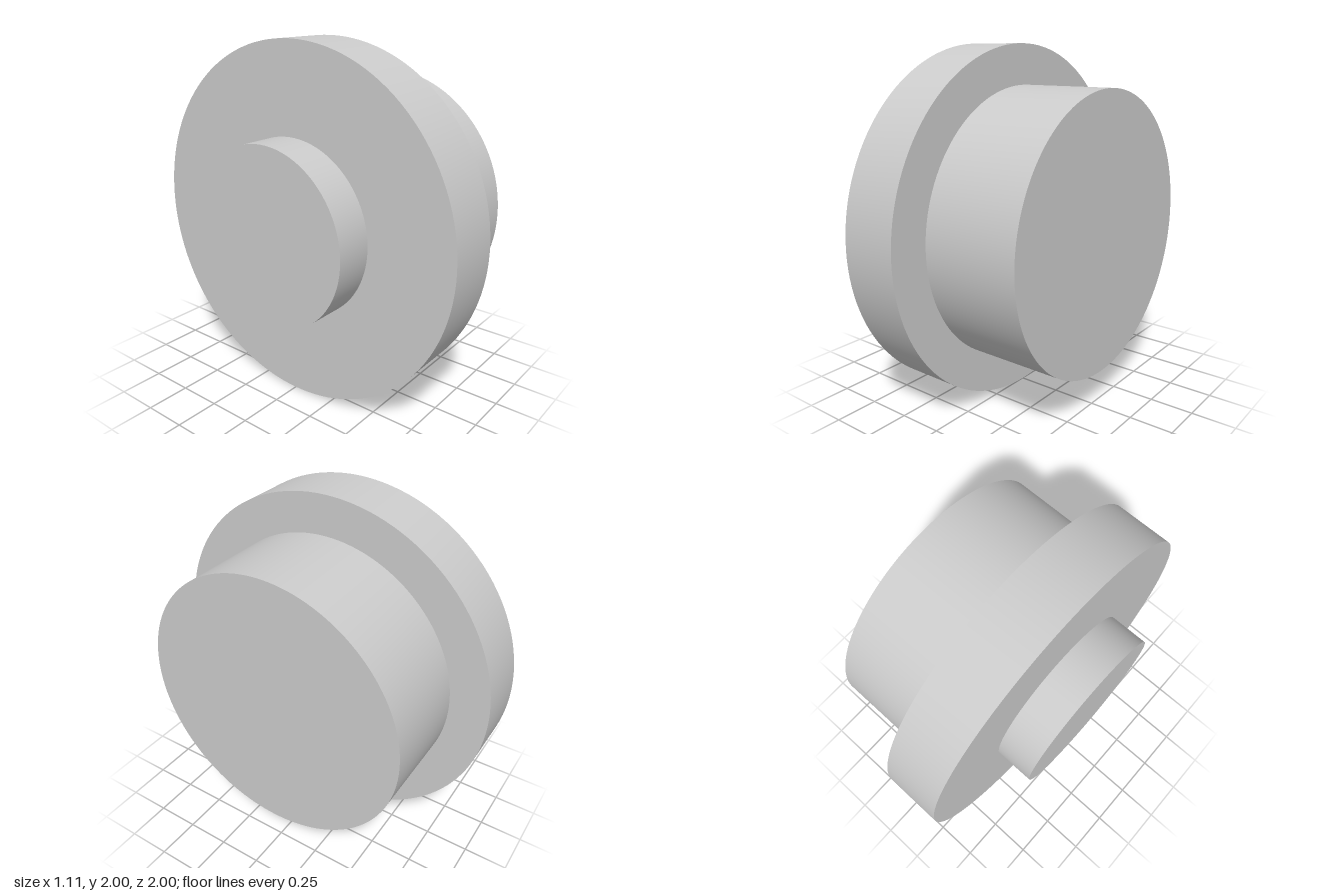
import * as THREE from 'three';
import { toCreasedNormals } from 'three/addons/utils/BufferGeometryUtils.js';

const SEGMENTS = 128;

export function createModel() {
  const group = new THREE.Group();
  group.name = 'steppedKnob';
  const material = new THREE.MeshStandardMaterial({ color: 0xcccccc });

  // Turn a [radius, x] profile about the x axis, keeping its corners sharp
  const addTurned = (name, profile) => {
    const points = profile.map(([radius, x]) => new THREE.Vector2(radius, x));
    const geometry = new THREE.LatheGeometry(points, SEGMENTS).rotateZ(-Math.PI / 2);
    const mesh = new THREE.Mesh(toCreasedNormals(geometry, 0.5), material);
    mesh.name = name;
    mesh.position.y = 1;
    group.add(mesh);
  };

  const left = -0.556, flangeLeft = -0.333, flangeRight = 0, right = 0.556;
  const spigotR = 0.5, flangeR = 1, bossR = 0.778;

  // Short spigot, closed at its outer end
  addTurned('spigot', [[0, left], [spigotR, left], [spigotR, flangeLeft]]);

  // Wide flange with a ring-shaped shoulder on each side
  addTurned('flange', [
    [spigotR, flangeLeft], [flangeR, flangeLeft],
    [flangeR, flangeRight], [bossR, flangeRight],
  ]);

  // Long boss, closed at its outer end
  addTurned('boss', [[bossR, flangeRight], [bossR, right], [0, right]]);

  return group;
}
